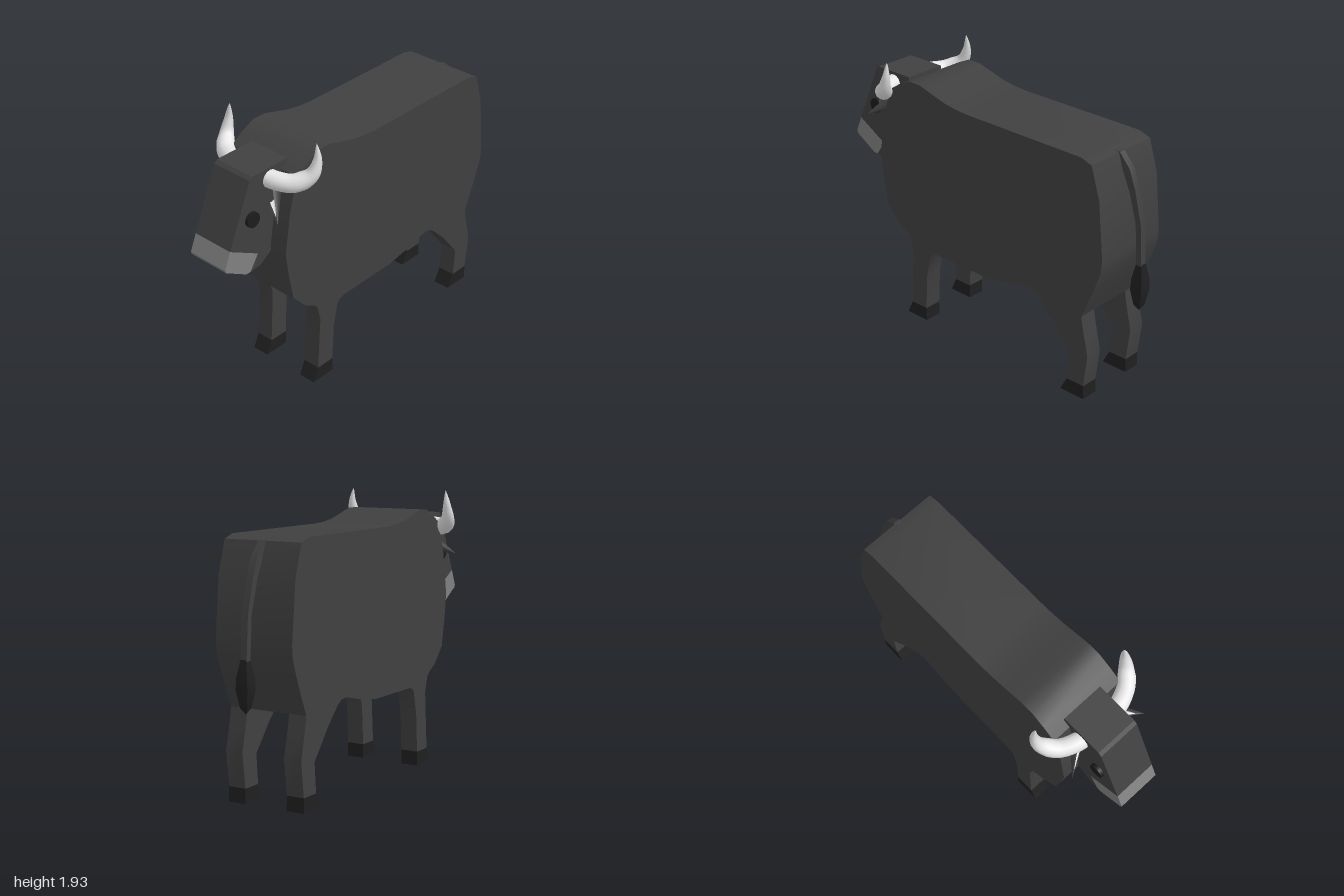
import * as THREE from 'three';
import { toCreasedNormals } from 'three/addons/utils/BufferGeometryUtils.js';

const mat = (name, color) => {
  const m = new THREE.MeshStandardMaterial({ color });
  m.name = name;
  return m;
};

// Side profile (forward, up) extruded across the width; local +z is forward
function slab(points, width, centre = 0) {
  const shape = new THREE.Shape(points.map(p => new THREE.Vector2(...p)));
  const g = new THREE.ExtrudeGeometry(shape, { depth: width, bevelEnabled: false });
  g.translate(0, 0, -width / 2);
  g.rotateY(-Math.PI / 2);
  g.translate(centre, 0, 0);
  return toCreasedNormals(g, 0.45);
}

export function createModel() {
  const hide = mat('dark hide', 0x404040);
  const hoofMat = mat('hoof black', 0x202020);
  const muzzleMat = mat('muzzle grey', 0x808080);
  const hornMat = mat('horn ivory', 0xebebeb);
  const eyeMat = mat('eye black', 0x1c1c1c);

  const root = new THREE.Group();
  root.name = 'bull';
  const bull = new THREE.Group();
  bull.name = 'turnedBull';
  bull.rotation.y = -Math.PI / 4;
  root.add(bull);
  const add = (name, geometry, material, parent = bull) => {
    const mesh = new THREE.Mesh(geometry, material);
    mesh.name = name;
    parent.add(mesh);
    return mesh;
  };

  // Body with shoulder hump, chest, belly and rump
  add('body', slab([
    [0.589, 0.615], [0.626, 0.65], [0.7, 0.69], [0.808, 0.807], [0.845, 1.0], [0.868, 1.18],
    [0.82, 1.47], [0.75, 1.695], [0.655, 1.755], [0.558, 1.8], [0.455, 1.8], [0.35, 1.77],
    [0.235, 1.738], [0.13, 1.722], [0.03, 1.715], [-0.94, 1.713], [-1.023, 1.685], [-1.09, 1.47],
    [-1.13, 1.07], [-1.122, 0.98], [-1.068, 0.83], [-0.978, 0.615], [-0.614, 0.615],
    [-0.568, 0.645], [-0.52, 0.652], [-0.478, 0.645], [-0.313, 0.605], [-0.138, 0.577],
    [0.334, 0.575],
  ], 0.57), hide);

  // Legs and hooves
  const legs = {
    front: {
      leg: [[0.589, 0.615], [0.334, 0.575], [0.375, 0.562], [0.395, 0.535], [0.432, 0.37], [0.448, 0.1],
        [0.589, 0.1], [0.562, 0.5]],
      hoof: [[0.589, 0.1], [0.448, 0.1], [0.448, 0], [0.636, 0]],
    },
    rear: {
      leg: [[-0.614, 0.615], [-0.978, 0.615], [-0.992, 0.535], [-1.038, 0.337], [-1.01, 0.1],
        [-0.87, 0.1], [-0.886, 0.305], [-0.727, 0.5]],
      hoof: [[-0.87, 0.1], [-1.01, 0.1], [-1.012, 0], [-0.818, 0]],
    },
  };
  for (const [end, part] of Object.entries(legs)) {
    for (const [side, s] of [['Left', 1], ['Right', -1]]) {
      add(`${end}${side}Leg`, slab(part.leg, 0.127, s * 0.2215), hide);
      add(`${end}${side}Hoof`, slab(part.hoof, 0.127, s * 0.2215), hoofMat);
    }
  }

  // Head and muzzle
  const head = new THREE.Group();
  head.name = 'head';
  bull.add(head);
  add('skull', slab([
    [0.7, 1.755], [0.7, 1.2], [0.86, 1.155], [0.96, 1.09], [1.05, 1.08], [0.98, 1.185],
    [1.212, 1.315], [1.025, 1.735], [1.0, 1.755],
  ], 0.306), hide, head);
  add('muzzle', slab([
    [1.212, 1.315], [0.98, 1.185], [1.05, 1.08], [1.085, 1.08], [1.255, 1.18], [1.262, 1.2],
  ], 0.306), muzzleMat, head);

  // Horn path: out from the head, back, then up to a point
  const hornPath = [[0.1, 1.68, 0.86], [0.2, 1.672, 0.84], [0.3, 1.675, 0.79], [0.372, 1.73, 0.71],
    [0.385, 1.82, 0.675], [0.375, 1.93, 0.67]];
  const rings = 28, sides = 14;
  function horn(s) {
    const curve = new THREE.CatmullRomCurve3(hornPath.map(([x, y, z]) => new THREE.Vector3(s * x, y, z)));
    const g = new THREE.TubeGeometry(curve, rings, 0.062, sides);
    const pos = g.attributes.position, v = new THREE.Vector3();
    for (let i = 0; i <= rings; i++) {
      const t = i / rings, c = curve.getPointAt(t);
      const k = t < 0.5 ? 1 - 0.1 * t : 0.95 * Math.pow((1 - t) / 0.5, 0.8);
      for (let j = 0; j <= sides; j++) {
        const n = i * (sides + 1) + j;
        v.fromBufferAttribute(pos, n).sub(c).multiplyScalar(k).add(c);
        pos.setXYZ(n, v.x, v.y, v.z);
      }
    }
    return g;
  }

  // Ear: a half cone opening forward; the lining is the same shape turned inside out
  function ear(s, radius, length, inside) {
    const g = new THREE.ConeGeometry(radius, length, 10, 1, true, Math.PI / 2, Math.PI);
    g.translate(0, length / 2, 0);
    if (inside) {
      const idx = g.index.array;
      for (let i = 0; i < idx.length; i += 3) [idx[i], idx[i + 1]] = [idx[i + 1], idx[i]];
      const n = g.attributes.normal.array;
      for (let i = 0; i < n.length; i++) n[i] = -n[i];
    }
    const Y = new THREE.Vector3(s * 0.17, -0.09, 0.11).normalize();
    const X = new THREE.Vector3().crossVectors(Y, new THREE.Vector3(s * 0.2, -0.2, 1)).normalize();
    const Z = new THREE.Vector3().crossVectors(X, Y);
    g.applyMatrix4(new THREE.Matrix4().makeBasis(X, Y, Z).setPosition(s * 0.14, 1.555, 0.845));
    return g;
  }

  for (const [side, s] of [['left', 1], ['right', -1]]) {
    add(`${side}Horn`, horn(s), hornMat, head);
    add(`${side}Ear`, ear(s, 0.07, 0.23, false), hide, head);
    add(`${side}EarInside`, ear(s, 0.07, 0.23, true), hide, head);
    add(`${side}EarLining`, ear(s, 0.05, 0.17, true), hornMat, head);

    const eye = add(`${side}Eye`, new THREE.CylinderGeometry(0.052, 0.052, 0.04, 16), eyeMat, head);
    eye.rotation.z = Math.PI / 2;
    eye.position.set(s * 0.158, 1.465, 1.025);

    // Nostril with a pale lower rim, set on the sloping underside of the muzzle
    const nostril = new THREE.Group();
    nostril.name = `${side}Nostril`;
    nostril.position.set(s * 0.085, 1.1415, 1.187);
    nostril.rotation.x = 1.035;
    head.add(nostril);
    const hole = add('nostrilHole', new THREE.CircleGeometry(0.036, 16), eyeMat, nostril);
    hole.position.z = 0.003;
    const rim = add('nostrilRim', new THREE.TorusGeometry(0.032, 0.008, 6, 12, Math.PI), hornMat, nostril);
    rim.rotation.z = Math.PI;
  }

  // Tail and four-sided tuft
  add('tail', slab([
    [-0.97, 1.7], [-1.03, 1.69], [-1.11, 1.6], [-1.16, 1.47], [-1.215, 1.25], [-1.235, 0.96],
    [-1.195, 0.96], [-1.175, 1.25], [-1.115, 1.45], [-1.06, 1.57], [-0.97, 1.62],
  ], 0.046), hide);
  const tuftProfile = [[0, 0], [0.035, 0.04], [0.062, 0.15], [0.058, 0.23], [0.03, 0.34], [0, 0.345]];
  const tuftGeo = new THREE.LatheGeometry(tuftProfile.map(p => new THREE.Vector2(...p)), 4, Math.PI / 4);
  const tuft = add('tailTuft', toCreasedNormals(tuftGeo, 0.5), hoofMat);
  tuft.position.set(0, 0.635, -1.215);

  return root;
}
